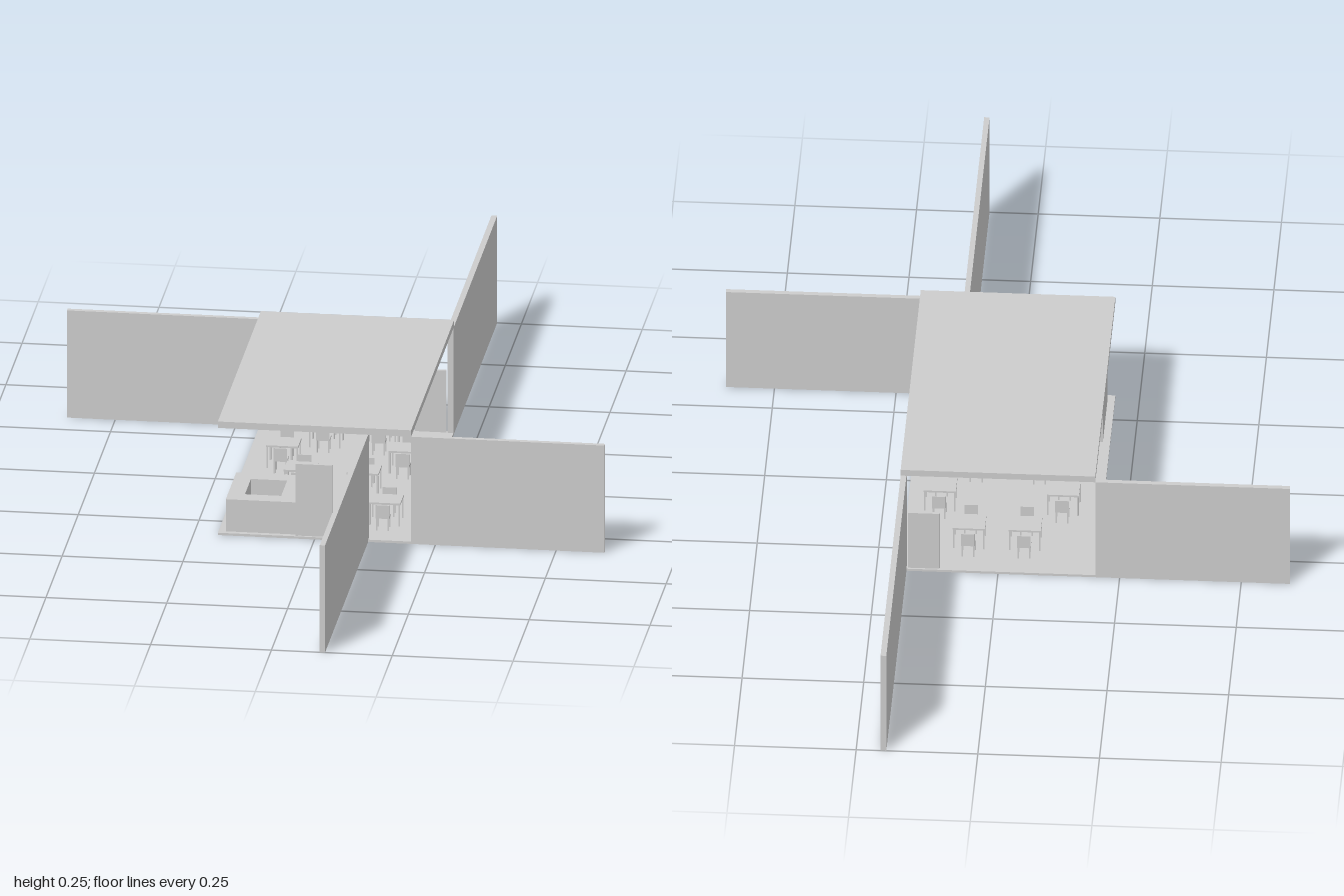
import * as THREE from 'three';

export function createModel() {
  const model = new THREE.Group();
  model.name = 'pavilion';
  const grey = new THREE.MeshStandardMaterial({ color: 0xcccccc });
  grey.name = 'light grey';

  // Box given by its minimum and maximum on each axis
  function box(name, x0, x1, y0, y1, z0, z1, parent = model) {
    const mesh = new THREE.Mesh(new THREE.BoxGeometry(x1 - x0, y1 - y0, z1 - z0), grey);
    mesh.position.set((x0 + x1) / 2, (y0 + y1) / 2, (z0 + z1) / 2);
    mesh.name = name;
    parent.add(mesh);
    return mesh;
  }

  function group(name, x, y, z, turn = 0) {
    const g = new THREE.Group();
    g.name = name;
    g.position.set(x, y, z);
    g.rotation.y = turn;
    model.add(g);
    return g;
  }

  // Floor and roof slabs
  const floorY = 0.005;
  box('floor', -0.2, 0.2, 0, floorY, -0.333, 0.333);
  box('roof', -0.2, 0.2, 0.234, 0.248, -0.333, 0.333);

  // Four long walls in a pinwheel
  const wallTop = 0.234;
  box('backRightWall', -0.6, -0.2, 0, wallTop, -0.333, -0.322);
  box('backLeftWall', 0.188, 0.2, 0, wallTop, -1, -0.322);
  box('frontLeftWall', 0.2, 0.6, 0, wallTop, 0.322, 0.333);
  box('frontWall', 0.1, 0.111, 0, wallTop, 0.322, 1);

  // Doors
  box('backDoor', 0.12, 0.185, floorY, 0.14, -0.329, -0.323);
  box('frontDoor', -0.035, 0.031, floorY, 0.158, 0.323, 0.328);
  box('frontDoorPost', -0.04, -0.035, floorY, 0.162, 0.321, 0.33);
  box('frontDoorPost', 0.031, 0.036, floorY, 0.162, 0.321, 0.33);
  box('frontDoorLintel', -0.035, 0.031, 0.158, 0.162, 0.321, 0.33);

  // Hollow rectangular service counter
  const counterTop = 0.075, t = 0.035;
  box('counterBack', -0.185, -0.04, floorY, counterTop, 0.16, 0.16 + t);
  box('counterFront', -0.185, -0.04, floorY, counterTop, 0.322 - t, 0.322);
  box('counterSide', -0.185, -0.185 + t, floorY, counterTop, 0.16 + t, 0.322 - t);
  box('counterSide', -0.04 - t, -0.04, floorY, counterTop, 0.16 + t, 0.322 - t);

  // Four thin legs under a rectangle
  function legs(name, w, d, h, parent) {
    for (const sx of [-1, 1]) for (const sz of [-1, 1]) {
      const x = sx * (w / 2 - 0.002), z = sz * (d / 2 - 0.002);
      box(name, x - 0.0015, x + 0.0015, 0, h, z - 0.0015, z + 0.0015, parent);
    }
  }

  function table(x, z) {
    const g = group('table', x, floorY, z);
    box('tableTop', -0.033, 0.033, 0.046, 0.05, -0.027, 0.027, g);
    legs('tableLeg', 0.066, 0.054, 0.046, g);
  }

  function chair(x, z, turn) {
    const g = group('chair', x, floorY, z, turn);
    box('seat', -0.014, 0.014, 0.026, 0.029, -0.014, 0.014, g);
    box('chairBack', -0.014, 0.014, 0.029, 0.055, 0.011, 0.014, g);
    legs('chairLeg', 0.028, 0.028, 0.026, g);
  }

  // Dining sets, each table with a chair at either end
  const sets = [
    [0.133, 0.22], [0.065, 0.05], [0.133, -0.09], [0.065, -0.225],
    [-0.065, 0.05], [-0.12, -0.09], [-0.05, -0.225],
  ];
  for (const [x, z] of sets) {
    table(x, z);
    chair(x, z + 0.042, 0);
    chair(x, z - 0.042, Math.PI);
  }
  return model;
}
